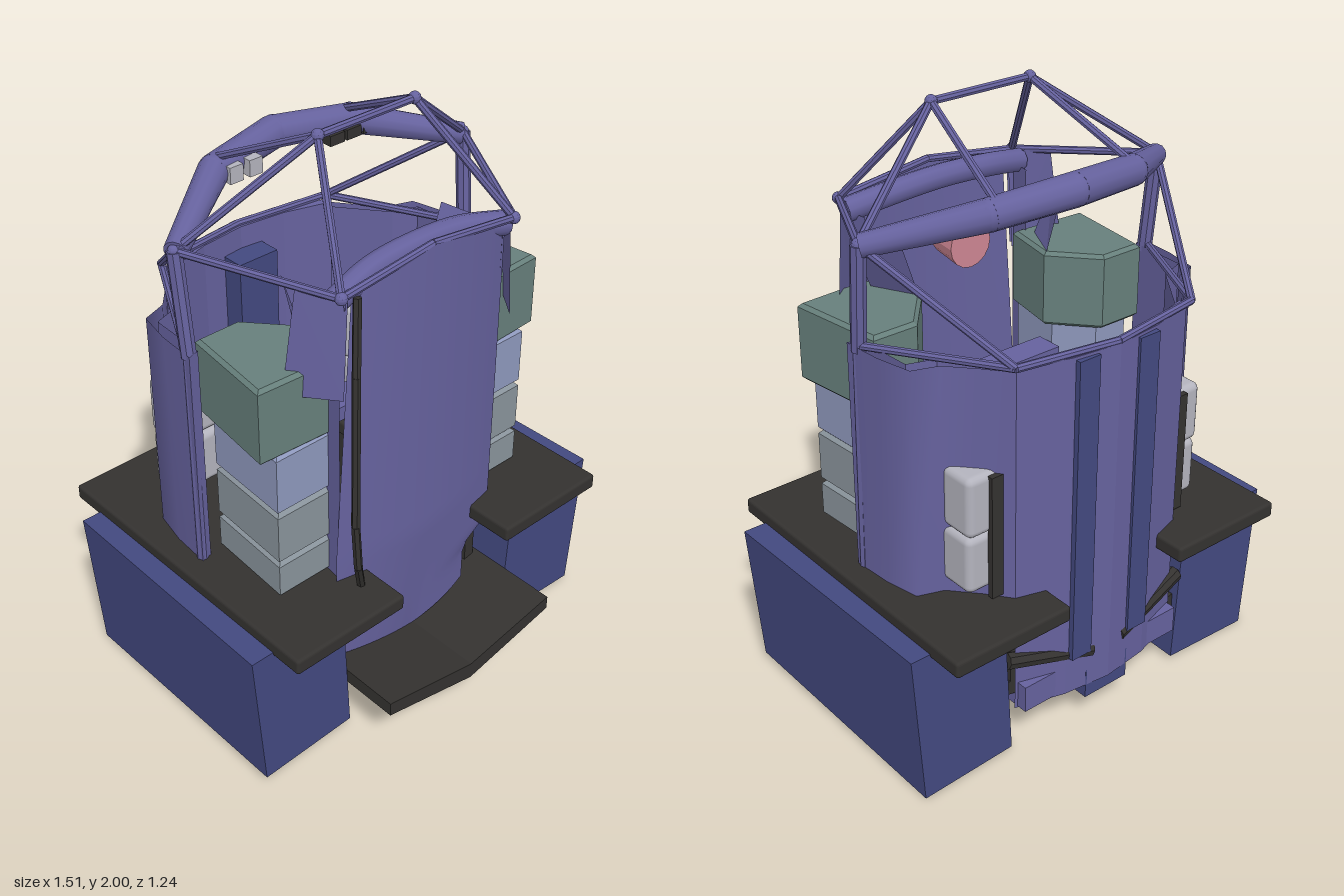
import * as THREE from 'three';
import { RoundedBoxGeometry } from 'three/addons/geometries/RoundedBoxGeometry.js';

const V = (x, y, z) => new THREE.Vector3(x, y, z);
const mat = (color, flat = true) =>
  new THREE.MeshStandardMaterial({ color, flatShading: flat, side: THREE.DoubleSide });

export function createModel() {
  const root = new THREE.Group();
  const purple = mat(0x66629e), smoothPurple = mat(0x66629e, false), blue = mat(0x434980);
  const black = mat(0x343230), grey = mat(0x5c5c5e), green = mat(0x67807c);
  const paleBlue = mat(0x8f99bd), paleGrey = mat(0x8a949c);
  const white = mat(0xb4b4be, false), pink = mat(0xcf8794);

  const add = (name, geo, m) => {
    const mesh = new THREE.Mesh(geo, m);
    mesh.name = name;
    root.add(mesh);
    return mesh;
  };
  // Box given by its min and max corners
  const box = (name, m, x0, x1, y0, y1, z0, z1, r = 0) => {
    const size = [x1 - x0, y1 - y0, z1 - z0];
    const geo = r ? new RoundedBoxGeometry(...size, 2, r) : new THREE.BoxGeometry(...size);
    const mesh = add(name, geo, m);
    mesh.position.set((x0 + x1) / 2, (y0 + y1) / 2, (z0 + z1) / 2);
    return mesh;
  };
  // Straight rod between two points, optionally tapered
  const rod = (name, a, b, ra = 0.013, rb = ra, m = purple, sides = 8) => {
    const mesh = add(name, new THREE.CylinderGeometry(rb, ra, a.distanceTo(b), sides), m);
    mesh.position.copy(a).add(b).multiplyScalar(0.5);
    mesh.quaternion.setFromUnitVectors(V(0, 1, 0), b.clone().sub(a).normalize());
  };
  const ball = (name, p, r, m) =>
    add(name, new THREE.SphereGeometry(r, 12, 8), m).position.copy(p);
  // Ruled surface between two rows of points
  const sheet = (name, m, rowA, rowB) => {
    const pos = [], idx = [];
    rowA.forEach((p, i) => {
      pos.push(...p.toArray(), ...rowB[i].toArray());
      if (i) idx.push(2 * i - 2, 2 * i, 2 * i - 1, 2 * i, 2 * i + 1, 2 * i - 1);
    });
    const geo = new THREE.BufferGeometry();
    geo.setAttribute('position', new THREE.Float32BufferAttribute(pos, 3));
    geo.setIndex(idx);
    geo.computeVertexNormals();
    return add(name, geo, m);
  };
  const wall = (name, m, plan, y0, y1) =>
    sheet(name, m, plan.map(([x, z]) => V(x, y0, z)), plan.map(([x, z]) => V(x, y1, z)));
  // Upright prism over a plan outline of x, z points, with a small bevel
  const prism = (name, m, plan, y0, y1) => {
    const b = 0.012;
    const shape = new THREE.Shape(plan.map(([x, z]) => new THREE.Vector2(x, -z)));
    const geo = new THREE.ExtrudeGeometry(shape, { depth: y1 - y0 - 2 * b, bevelEnabled: true,
      bevelThickness: b, bevelSize: b, bevelOffset: -b, bevelSegments: 1 });
    geo.rotateX(-Math.PI / 2);
    geo.translate(0, y0 + b, 0);
    return add(name, geo, m);
  };

  // Bulged front panel: notched at one lower corner, tucked in low down, peaked top edge
  const front = new THREE.PlaneGeometry(2, 1, 16, 36);
  const fp = front.attributes.position;
  for (let i = 0; i < fp.count; i++) {
    const s = fp.getX(i), t = fp.getY(i) + 0.5;
    const left = 0.23 + 0.11 * THREE.MathUtils.smoothstep(t, 0.09, 0.17);
    const right = 0.35 - 0.06 * Math.max(0, t - 0.3) / 0.7;
    const x = s < 0 ? s * right : s * left;
    const top = 1.69 - 0.07 * Math.abs(s), bottom = 0.2 + 0.07 * Math.abs(s);
    const tuck = Math.max(0, 0.3 - t) * 0.15 * (1 - Math.abs(s));
    fp.setXYZ(i, x, bottom + (top - bottom) * t, 0.385 - 0.045 * s * s - tuck);
  }
  front.computeVertexNormals();
  add('frontPanel', front, smoothPurple);
  box('frontCornerBlock', grey, 0.22, 0.34, 0.24, 0.42, 0.2, 0.26);
  const frontBeam = new THREE.CatmullRomCurve3([V(-0.35, 1.61, 0.33), V(-0.18, 1.64, 0.3),
    V(0, 1.65, 0.295), V(0.18, 1.64, 0.3), V(0.35, 1.61, 0.33)]);
  add('frontTopBeam', new THREE.TubeGeometry(frontBeam, 24, 0.04, 10), smoothPurple);
  const seal = [V(-0.29, 1.62, 0.365), V(-0.32, 1.38, 0.395), V(-0.352, 0.87, 0.43),
    V(-0.34, 0.7, 0.43), V(-0.3, 0.59, 0.4)];
  seal.slice(1).forEach((p, i) => rod('doorSeal', seal[i], p, 0.014, 0.014, black, 6));
  rod('lowerSeal', V(-0.35, 0.56, 0.33), V(-0.345, 0.28, 0.33), 0.016, 0.016, black, 6);

  // Rear shell
  const rear = [[-0.34, -0.48], [-0.17, -0.53], [0, -0.55], [0.17, -0.53], [0.34, -0.48]];
  wall('rearWall', purple, rear, 0.16, 1.38);
  wall('rearWallLining', purple, rear.map(([x, z]) => [x, z + 0.03]), 0.2, 1.38);
  sheet('rearWallCap', purple, rear.map(([x, z]) => V(x, 1.38, z)), rear.map(([x, z]) => V(x, 1.38, z + 0.03)));
  box('rearFoot', blue, -0.09, 0.09, 0.11, 0.22, -0.54, -0.42);

  // Floor with a shallow V section that juts out as a front step
  const vee = new THREE.Shape();
  [[-0.37, 0.27], [0, 0.2], [0.37, 0.27], [0.37, 0.22], [0, 0.14], [-0.37, 0.22]]
    .forEach(([x, y], i) => (i ? vee.lineTo(x, y) : vee.moveTo(x, y)));
  const floor = add('floorAndStep', new THREE.ExtrudeGeometry(vee, { depth: 1.085, bevelEnabled: false }), black);
  floor.position.z = -0.47;
  box('cabinFloor', grey, -0.2, 0.2, 0.27, 0.3, -0.4, 0.1);
  for (const z of [-0.14, -0.08]) box('floorPedal', black, -0.08, -0.04, 0.3, 0.34, z - 0.02, z + 0.02);

  for (const s of [1, -1]) {
    const m = (x, y, z) => V(s * x, y, z);
    const flip = plan => plan.map(([x, z]) => [s * x, z]);
    const sbox = (name, mt, x0, x1, ...rest) =>
      s > 0 ? box(name, mt, x0, x1, ...rest) : box(name, mt, -x1, -x0, ...rest);

    // Side tank, leaning outward toward the top
    const tank = new THREE.BoxGeometry(2, 2, 2);
    const tp = tank.attributes.position;
    for (let i = 0; i < tp.count; i++) {
      const up = tp.getY(i) > 0, back = tp.getZ(i) < 0, outer = tp.getX(i) * s > 0;
      const x = outer ? (up ? 0.757 : 0.718) - (back ? 0.012 : 0) : up ? 0.39 : 0.36;
      const y = up ? 0.55 : (back ? 0.005 : 0.03) + (outer ? 0 : 0.015);
      tp.setXYZ(i, s * x, y, back ? -0.49 : 0.415);
    }
    tank.computeVertexNormals();
    add('sideTank', tank, blue);
    sbox('sidePlatform', black, 0.235, 0.675, 0.535, 0.59, -0.62, 0.53, 0.01);
    sbox('lowerSideWall', black, 0.31, 0.35, 0.22, 0.56, -0.47, 0.28);

    // Stack of wedge-shaped storage cases with a wider one on top
    const small = flip([[0.53, 0.28], [0.51, -0.04], [0.38, -0.04], [0.29, 0.08], [0.31, 0.28]]);
    const wide = flip([[0.582, 0.27], [0.54, -0.07], [0.38, -0.07], [0.25, 0.08], [0.29, 0.285]]);
    prism('storageCaseBottom', paleGrey, small, 0.59, 0.725);
    prism('storageCaseLower', paleGrey, small, 0.725, 0.915);
    prism('storageCaseUpper', paleBlue, small, 0.915, 1.13);
    prism('storageCaseTop', green, wide, 1.12, 1.385);

    // Rear quarter panel and the pale packs fixed behind it
    const plan = [[0.34, -0.48], [0.4, -0.4], [0.48, -0.31], [0.565, -0.28], [0.59, -0.16], [0.6, -0.02]];
    wall('quarterPanel', smoothPurple, flip(plan), 0.58, 1.37);
    wall('quarterPanelLining', purple,
      flip([[0.6, -0.02], [0.56, -0.03], [0.55, -0.24], [0.46, -0.27], [0.33, -0.44]]), 0.58, 1.37);
    sbox('lowerPack', white, 0.28, 0.48, 0.63, 0.83, -0.43, -0.29, 0.025);
    sbox('upperPack', white, 0.28, 0.48, 0.83, 1.04, -0.435, -0.3, 0.025);
    sbox('packPlate', black, 0.35, 0.405, 0.6, 1.03, -0.45, -0.43);
    sbox('rearRib', blue, 0.08, 0.16, 0.3, 1.37, -0.55, -0.52);
    sbox('rearSkirt', purple, 0.12, 0.33, 0.165, 0.26, -0.52, -0.44);
    rod('rearBumperBar', m(0.06, 0.29, -0.525), m(0.37, 0.36, -0.475), 0.028, 0.028, black);

    // Front panel returns, corner wings and inner plates
    wall('frontReturn', purple, flip([[0.335, 0.34], [0.325, 0.26]]), 0.59, 1.6);
    sheet('cornerWing', purple, [m(0.33, 1.64, 0.37), m(0.35, 1.3, 0.375)], [m(0.42, 1.66, 0.25), m(0.46, 1.3, 0.23)]);
    sheet('cornerWingInner', purple, [m(0.32, 1.64, 0.35), m(0.33, 1.3, 0.34)], [m(0.42, 1.66, 0.25), m(0.46, 1.3, 0.23)]);
    sheet('innerPlate', purple, [m(0.33, 1.37, 0.23), m(0.41, 1.55, 0.22)], [m(0.26, 1.38, 0.08), m(0.33, 1.59, 0.08)]);

    // Roll cage
    const apex = m(0.19, 1.985, 0.09), side = m(0.585, 1.695, -0.08);
    const corner = m(0.35, 1.64, 0.365), tail = m(0.35, 1.39, -0.49);
    rod('cagePillar', m(0.58, 1.35, -0.05), side, 0.025);
    rod('cagePillarFoot', m(0.585, 0.58, -0.04), m(0.58, 1.37, -0.05), 0.02);
    for (const [a, b] of [[apex, side], [apex, corner], [side, corner], [side, tail],
      [apex, m(0.26, 1.8, -0.3)], [corner, V(0, 1.685, 0.37)], [tail, V(0, 1.385, -0.54)],
      [tail, m(0.59, 1.37, -0.05)]]) rod('cageRod', a, b);
    for (const p of [apex, side, corner]) ball('cageJoint', p, 0.02, purple);

    // Half of the thick rear arch, tapering to the side joint
    const bend = m(0.275, 1.768, -0.285), crown = V(0, 1.79, -0.335);
    rod('rearArchOuter', m(0.58, 1.69, -0.08), bend, 0.036, 0.05, smoothPurple, 12);
    rod('rearArchInner', bend, crown, 0.05, 0.053, smoothPurple, 12);
    ball('rearArchBend', bend, 0.05, smoothPurple);
  }
  rod('cageTopRod', V(-0.19, 1.985, 0.09), V(0.19, 1.985, 0.09));
  ball('rearArchCrown', V(0, 1.79, -0.335), 0.053, smoothPurple);

  // Small instruments on the front of the arch
  for (const x of [-0.235, -0.16]) box('archLamp', white, x - 0.025, x + 0.025, 1.735, 1.79, -0.28, -0.225);
  for (const x of [0.17, 0.24, 0.31]) box('archSwitch', black, x - 0.03, x + 0.03, 1.73, 1.765, -0.28, -0.225);

  // Cabin fittings
  box('crossPanel', purple, -0.28, 0.28, 1.0, 1.05, 0.03, 0.13);
  box('rearLocker', blue, -0.08, 0.08, 1.0, 1.3, -0.52, -0.43);
  const dial = add('roundFitting', new THREE.CylinderGeometry(0.08, 0.065, 0.12, 16), pink);
  dial.rotation.x = -Math.PI / 2;
  dial.position.set(0, 1.46, 0.21);
  return root;
}
